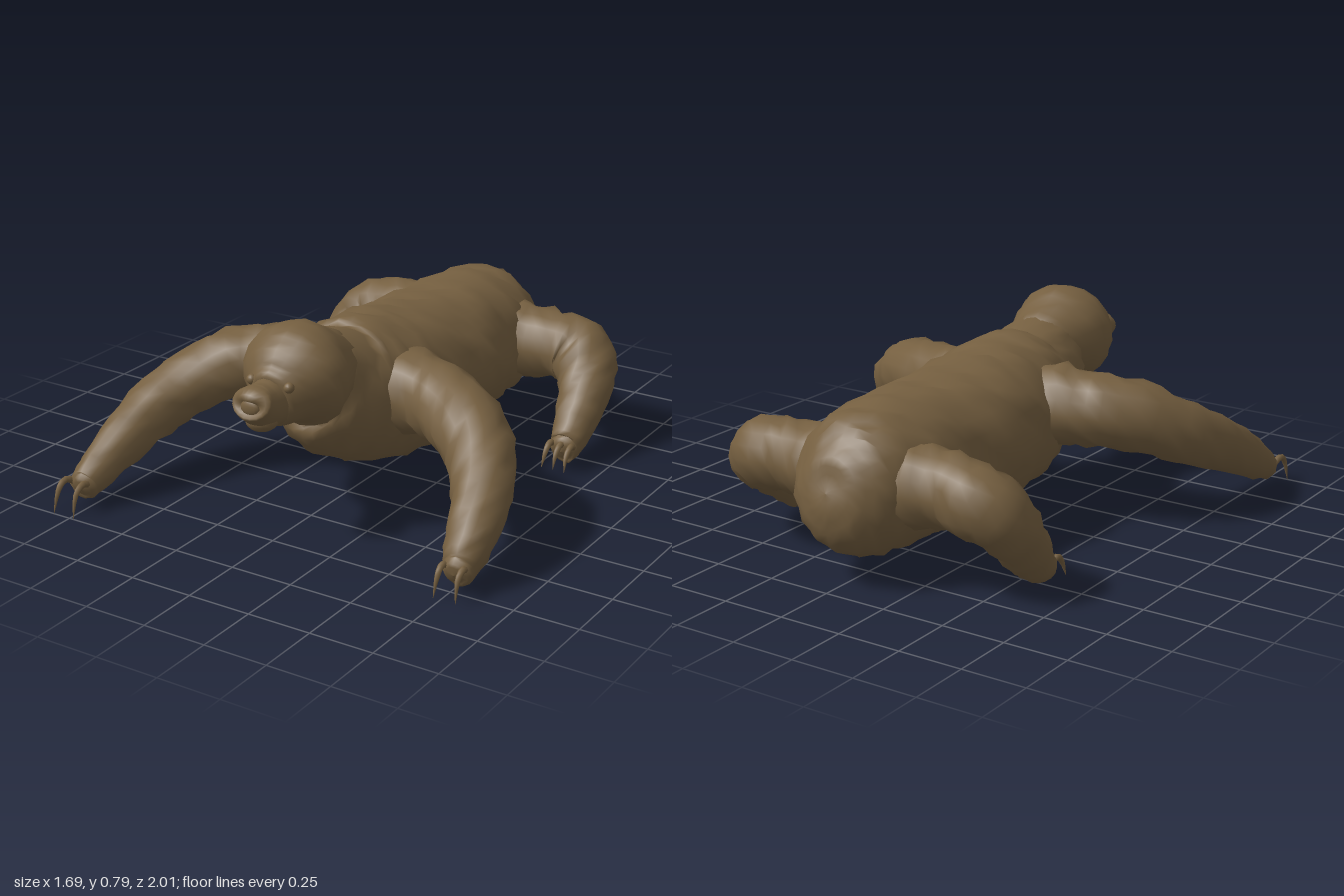
import * as THREE from 'three';

const fur = new THREE.MeshStandardMaterial({ color: 0x755f40 });
fur.name = 'brown fur';

// Repeatable value in -1..1 for a ring and side number
function ruffle(i, j, seed) {
  const s = Math.sin(i * 12.99 + j * 78.23 + seed * 37.7) * 43758.55;
  return (s - Math.floor(s)) * 2 - 1;
}

// Loft through sections [x, y, z, rx, ry]; shaggy is the depth of the fur
function loft(name, sections, rings, sides, shaggy = 0, seed = 1) {
  const path = new THREE.CatmullRomCurve3(sections.map(s => new THREE.Vector3(s[0], s[1], s[2])), false, 'catmullrom', 0.5);
  const size = new THREE.CatmullRomCurve3(sections.map(s => new THREE.Vector3(s[3], s[4] ?? s[3], 0)), false, 'catmullrom', 0.5);
  const up = new THREE.Vector3(0, 1, 0);
  const pos = [], index = [];
  for (let i = 0; i <= rings; i++) {
    const t = i / rings;
    const p = path.getPoint(t), r = size.getPoint(t), tan = path.getTangent(t);
    const side = new THREE.Vector3().crossVectors(up, tan).normalize();
    const top = new THREE.Vector3().crossVectors(tan, side);
    for (let j = 0; j < sides; j++) {
      const a = (j / sides) * Math.PI * 2;
      // overlapping locks of fur: a saw-tooth along the length plus a ruffle
      const k = 1 + shaggy * (((i + (j % 2)) % 3 - 1) * 0.4 + ruffle(i, j, seed) * 0.7);
      const v = p.clone()
        .addScaledVector(side, Math.cos(a) * Math.max(r.x, 0.0005) * k)
        .addScaledVector(top, Math.sin(a) * Math.max(r.y, 0.0005) * k);
      pos.push(v.x, v.y, v.z);
      if (i < rings) {
        const b = i * sides + j, c = i * sides + (j + 1) % sides;
        index.push(b, c, c + sides, b, c + sides, b + sides);
      }
    }
  }
  const g = new THREE.BufferGeometry();
  g.setAttribute('position', new THREE.Float32BufferAttribute(pos, 3));
  g.setIndex(index);
  g.computeVertexNormals();
  const mesh = new THREE.Mesh(g, fur);
  mesh.name = name;
  return mesh;
}

function ball(name, x, y, z, rx, ry, rz) {
  const m = new THREE.Mesh(new THREE.SphereGeometry(1, 14, 10), fur);
  m.name = name;
  m.position.set(x, y, z);
  m.scale.set(rx, ry, rz);
  return m;
}

// Limb with a rounded paw and long hooked claws
function limb(name, sections, clawXs, tip, seed) {
  const g = new THREE.Group();
  g.name = name;
  const [x, y, z, r] = sections[sections.length - 1];
  const all = [...sections, [x, y - 0.015, z + r * 0.6, r * 0.75], [x, y - 0.02, z + r * 0.8, 0]];
  g.add(loft('shaggyLeg', all, 30, 16, 0.08, seed));
  for (const cx of clawXs) {
    const len = tip[1] - z;
    g.add(loft('claw', [
      [x + (cx - x) * 0.8, y - 0.015, z + r * 0.2, 0.014],
      [cx, y + 0.015, z + len * 0.5, 0.013],
      [cx, y - 0.015, z + len * 0.82, 0.01],
      [cx + (cx - x) * 0.1, tip[0], tip[1], 0.001],
    ], 9, 7));
  }
  return g;
}

export function createModel() {
  const model = new THREE.Group();
  model.name = 'crawlingSloth';

  // Trunk from rump to neck
  model.add(loft('body', [
    [0, 0.38, -0.99, 0], [0, 0.375, -0.97, 0.12, 0.13], [0, 0.36, -0.88, 0.22, 0.235],
    [0, 0.36, -0.72, 0.27, 0.275], [0, 0.365, -0.5, 0.295, 0.28], [0, 0.37, -0.25, 0.315, 0.28],
    [0, 0.385, 0, 0.3, 0.295], [0, 0.425, 0.2, 0.265, 0.28], [0, 0.472, 0.34, 0.225, 0.25],
    [0, 0.55, 0.45, 0.17, 0.19], [0, 0.58, 0.55, 0.1, 0.1], [0, 0.58, 0.57, 0],
  ], 44, 28, 0.055, 3));

  // Head: round skull with a tapering face
  const head = new THREE.Group();
  head.name = 'head';
  head.add(loft('skull', [
    [0, 0.57, 0.3, 0], [0, 0.575, 0.36, 0.12, 0.12], [0, 0.592, 0.46, 0.172, 0.163],
    [0, 0.602, 0.56, 0.207, 0.2], [0, 0.592, 0.63, 0.198, 0.175], [0, 0.57, 0.7, 0.13, 0.125],
    [0, 0.56, 0.75, 0.08, 0.095], [0, 0.56, 0.76, 0],
  ], 26, 20, 0.03, 5));
  head.add(loft('muzzle', [
    [0, 0.56, 0.68, 0.095, 0.1], [0, 0.56, 0.78, 0.077, 0.088], [0, 0.578, 0.835, 0.078, 0.072],
    [0, 0.595, 0.865, 0.074, 0.054], [0, 0.595, 0.872, 0],
  ], 14, 18, 0.012, 6));
  head.add(ball('chin', 0, 0.51, 0.795, 0.062, 0.046, 0.065));
  head.add(ball('nose', 0, 0.575, 0.866, 0.04, 0.032, 0.016));
  for (const s of [-1, 1]) head.add(ball('eye', s * 0.08, 0.625, 0.742, 0.02, 0.02, 0.02));
  model.add(head);

  // Front legs, the right one reaching further forward
  model.add(limb('leftFrontLeg', [
    [0.1, 0.45, 0.15, 0.15], [0.22, 0.45, 0.16, 0.16], [0.36, 0.45, 0.19, 0.143], [0.52, 0.425, 0.27, 0.14],
    [0.645, 0.36, 0.37, 0.128], [0.73, 0.28, 0.5, 0.11], [0.765, 0.19, 0.63, 0.092], [0.775, 0.11, 0.72, 0.068],
  ], [0.735, 0.815], [0.02, 0.835], 7));
  model.add(limb('rightFrontLeg', [
    [-0.1, 0.45, 0.15, 0.15], [-0.22, 0.45, 0.16, 0.16], [-0.36, 0.45, 0.18, 0.143], [-0.52, 0.43, 0.25, 0.138],
    [-0.65, 0.36, 0.37, 0.123], [-0.715, 0.29, 0.52, 0.112], [-0.745, 0.2, 0.7, 0.093], [-0.765, 0.11, 0.86, 0.066],
  ], [-0.82, -0.735], [0.01, 1.0], 8));

  // Hind legs, the right one drawn further back
  model.add(limb('leftHindLeg', [
    [0.1, 0.38, -0.72, 0.15], [0.22, 0.375, -0.72, 0.155], [0.36, 0.38, -0.72, 0.138], [0.49, 0.365, -0.715, 0.138],
    [0.565, 0.3, -0.64, 0.118], [0.59, 0.2, -0.53, 0.093], [0.597, 0.105, -0.42, 0.068],
  ], [0.555, 0.6, 0.645], [0.035, -0.295], 9));
  model.add(limb('rightHindLeg', [
    [-0.1, 0.38, -0.72, 0.15], [-0.22, 0.375, -0.72, 0.155], [-0.36, 0.38, -0.72, 0.138], [-0.49, 0.36, -0.735, 0.135],
    [-0.56, 0.29, -0.69, 0.116], [-0.585, 0.19, -0.62, 0.095], [-0.592, 0.108, -0.55, 0.072],
  ], [-0.64, -0.6, -0.56], [0.035, -0.435], 10));

  return model;
}
